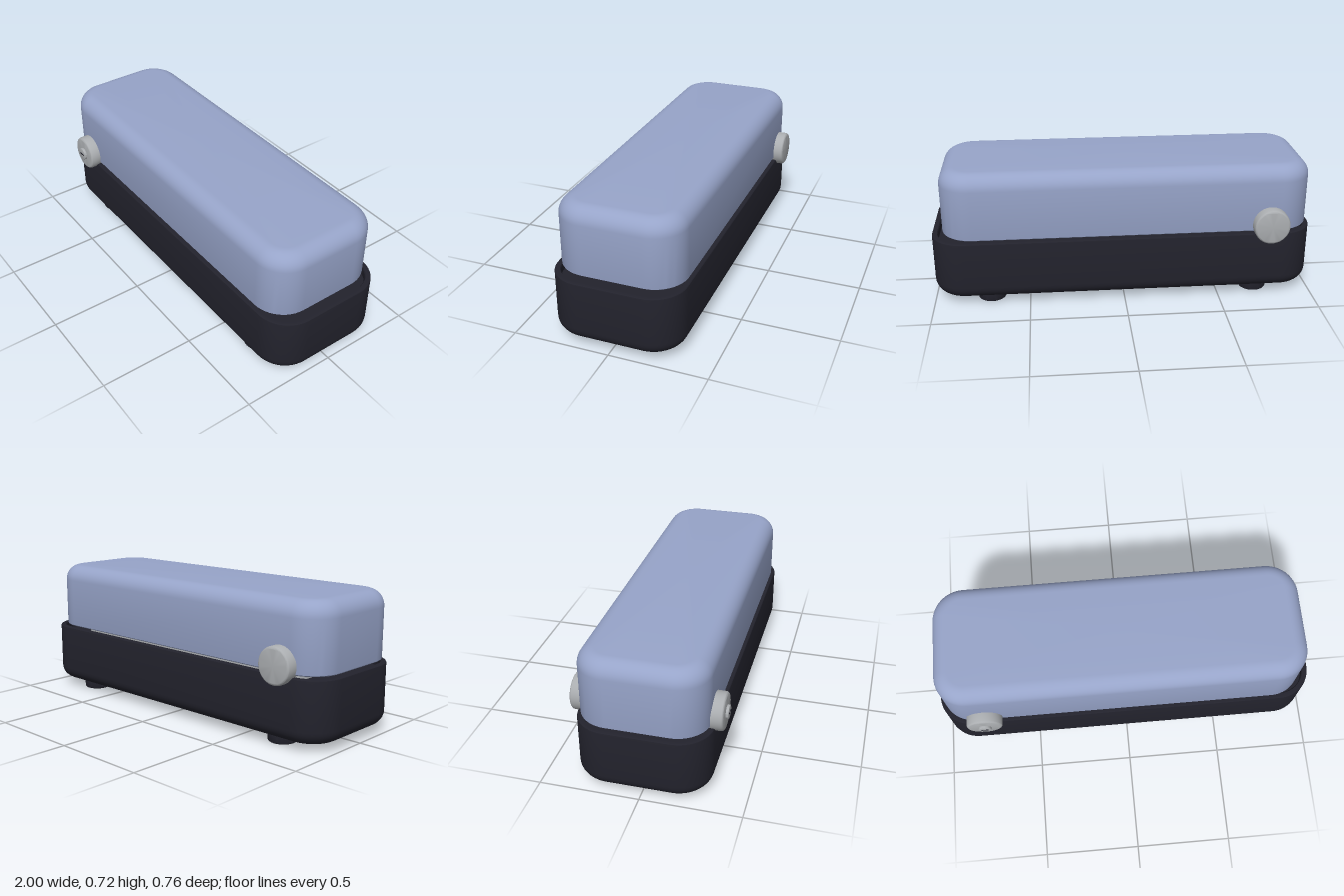
import * as THREE from 'three';
import { toCreasedNormals } from 'three/addons/utils/BufferGeometryUtils.js';

const material = (name, color) => new THREE.MeshStandardMaterial({ name, color });

// Stack of rounded rectangles, levels = [height, inset], closed at both ends
function loft(x0, x1, z0, z1, radius, levels, steps = 12) {
  const cx = (x0 + x1) / 2, cz = (z0 + z1) / 2;
  const hx = (x1 - x0) / 2 - radius, hz = (z1 - z0) / 2 - radius;
  const n = 4 * (steps + 1), pos = [], index = [];
  for (const [y, inset] of levels) {
    const r = Math.max(radius - inset, 0.002);
    for (let c = 0; c < 4; c++) {
      const sx = c === 0 || c === 3 ? 1 : -1, sz = c < 2 ? 1 : -1;
      for (let s = 0; s <= steps; s++) {
        const t = (c + s / steps) * Math.PI / 2;
        pos.push(cx + sx * hx + r * Math.cos(t), y, cz + sz * hz + r * Math.sin(t));
      }
    }
  }
  const last = levels.length - 1, bottom = n * levels.length, top = bottom + 1;
  pos.push(cx, levels[0][0], cz, cx, levels[last][0], cz);
  for (let i = 0; i < n; i++) {
    const k = (i + 1) % n;
    index.push(bottom, i, k, top, last * n + k, last * n + i);
    for (let j = 0; j < last; j++) {
      const a = j * n + i, b = j * n + k;
      index.push(a, a + n, b, b, a + n, b + n);
    }
  }
  const g = new THREE.BufferGeometry();
  g.setAttribute('position', new THREE.Float32BufferAttribute(pos, 3));
  g.setIndex(index);
  return toCreasedNormals(g, 0.5);
}

// Quarter-round edge levels; dir -1 curves in towards the bottom, +1 towards the top
function fillet(y, r, dir, steps = 8) {
  const out = [];
  for (let i = 0; i <= steps; i++) {
    const t = (i / steps) * Math.PI / 2;
    out.push([y - dir * r * (1 - Math.sin(t)), r * (1 - Math.cos(t))]);
  }
  return dir > 0 ? out : out.reverse();
}

// Disc along y from 0 to h with a rounded rim on top
function disc(radius, h, round) {
  const pts = [new THREE.Vector2(0, 0), new THREE.Vector2(radius, 0)];
  for (let i = 0; i <= 6; i++) {
    const t = (i / 6) * Math.PI / 2;
    pts.push(new THREE.Vector2(radius - round * (1 - Math.cos(t)), h - round * (1 - Math.sin(t))));
  }
  pts.push(new THREE.Vector2(0, h));
  return toCreasedNormals(new THREE.LatheGeometry(pts, 40), 0.5);
}

export function createModel() {
  const group = new THREE.Group();
  const blue = material('lid blue', 0x97a4c9);
  const dark = material('base charcoal', 0x22222c);
  const grey = material('metal grey', 0xabaeb1);
  const add = (name, geometry, mat, x = 0, y = 0, z = 0) => {
    const m = new THREE.Mesh(geometry, mat);
    m.name = name;
    m.position.set(x, y, z);
    group.add(m);
    return m;
  };

  // Base tray with a thin rim and a shallow recess
  add('base', loft(-1, 1, -0.338, 0.325, 0.17, [
    ...fillet(0.037, 0.07, -1), ...fillet(0.358, 0.008, 1, 3),
    [0.358, 0.026], [0.352, 0.03], [0.315, 0.03],
  ]), dark);

  // Inner plate showing in the gap
  add('innerPlate', loft(-0.8, 0.8, -0.203, 0.19, 0.03, [[0.31, 0], [0.372, 0]], 4), grey);

  // Lid, set slightly towards the knob end
  add('lid', loft(-0.98, 0.945, -0.325, 0.311, 0.165, [
    [0.367, 0.009], [0.373, 0.001], [0.378, 0], ...fillet(0.717, 0.083, 1, 10),
  ]), blue);

  // Hinge knobs on both long sides
  const kx = -0.76, ky = 0.407;
  add('frontKnob', disc(0.094, 0.066, 0.015), grey, kx, ky, 0.3).rotation.x = Math.PI / 2;
  add('backKnob', disc(0.094, 0.066, 0.015), grey, kx, ky, -0.312).rotation.x = -Math.PI / 2;

  // Lock button with a key slot on the front knob
  add('lockButton', disc(0.034, 0.018, 0.003), grey, kx, ky, 0.361).rotation.x = Math.PI / 2;
  add('keySlot', new THREE.BoxGeometry(0.036, 0.006, 0.004), dark, kx, ky, 0.379);

  // Four round feet
  for (const x of [-0.704, 0.702])
    for (const z of [0.21, -0.222])
      add('foot', disc(0.074, 0.045, 0.012), dark, x, 0.045, z).rotation.x = Math.PI;

  return group;
}
